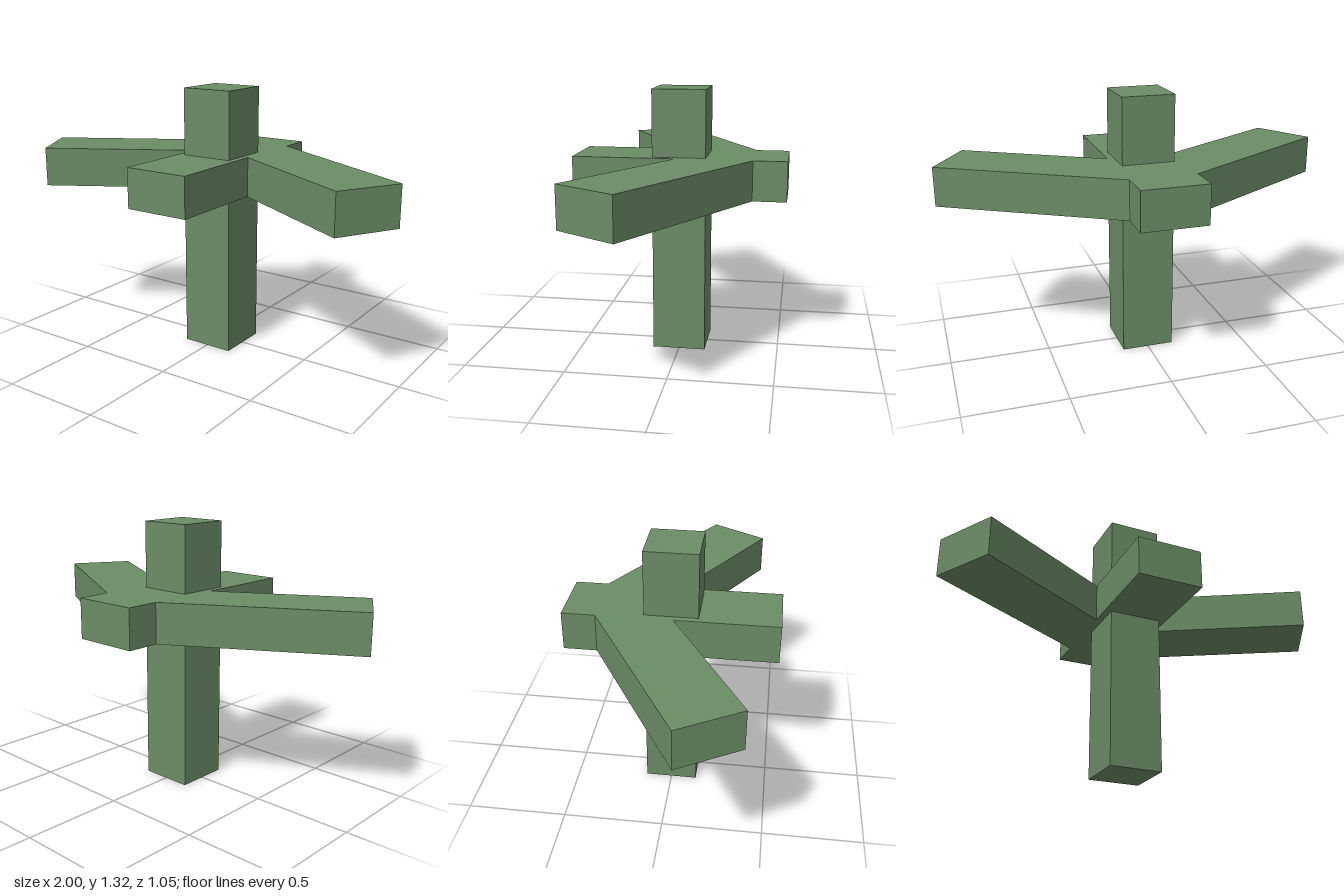
import * as THREE from 'three';

export function createModel() {
  const model = new THREE.Group();
  const green = new THREE.MeshStandardMaterial({ color: 0x6b8c66 });
  green.name = 'cactus green';

  // Upright square post
  const post = new THREE.Mesh(new THREE.BoxGeometry(0.264, 1.32, 0.264), green);
  post.name = 'post';
  post.position.y = 0.66;
  model.add(post);

  // Flat crosspiece: one half of the outline as [x, z], mirrored for the other
  const half = [[0.165, 0.525], [0.165, 0.015], [0.833, 0.4], [1, 0.118], [0.165, -0.362], [0.165, -0.528]];
  const outline = [...half, ...half.map(([x, z]) => [-x, z]).reverse()];
  const shape = new THREE.Shape(outline.map(([x, z]) => new THREE.Vector2(x, -z)));
  const slab = new THREE.ExtrudeGeometry(shape, { depth: 0.197, bevelEnabled: false });
  slab.rotateX(-Math.PI / 2);
  const arms = new THREE.Mesh(slab, green);
  arms.name = 'branchingArms';
  arms.position.y = 0.793;
  model.add(arms);

  return model;
}
